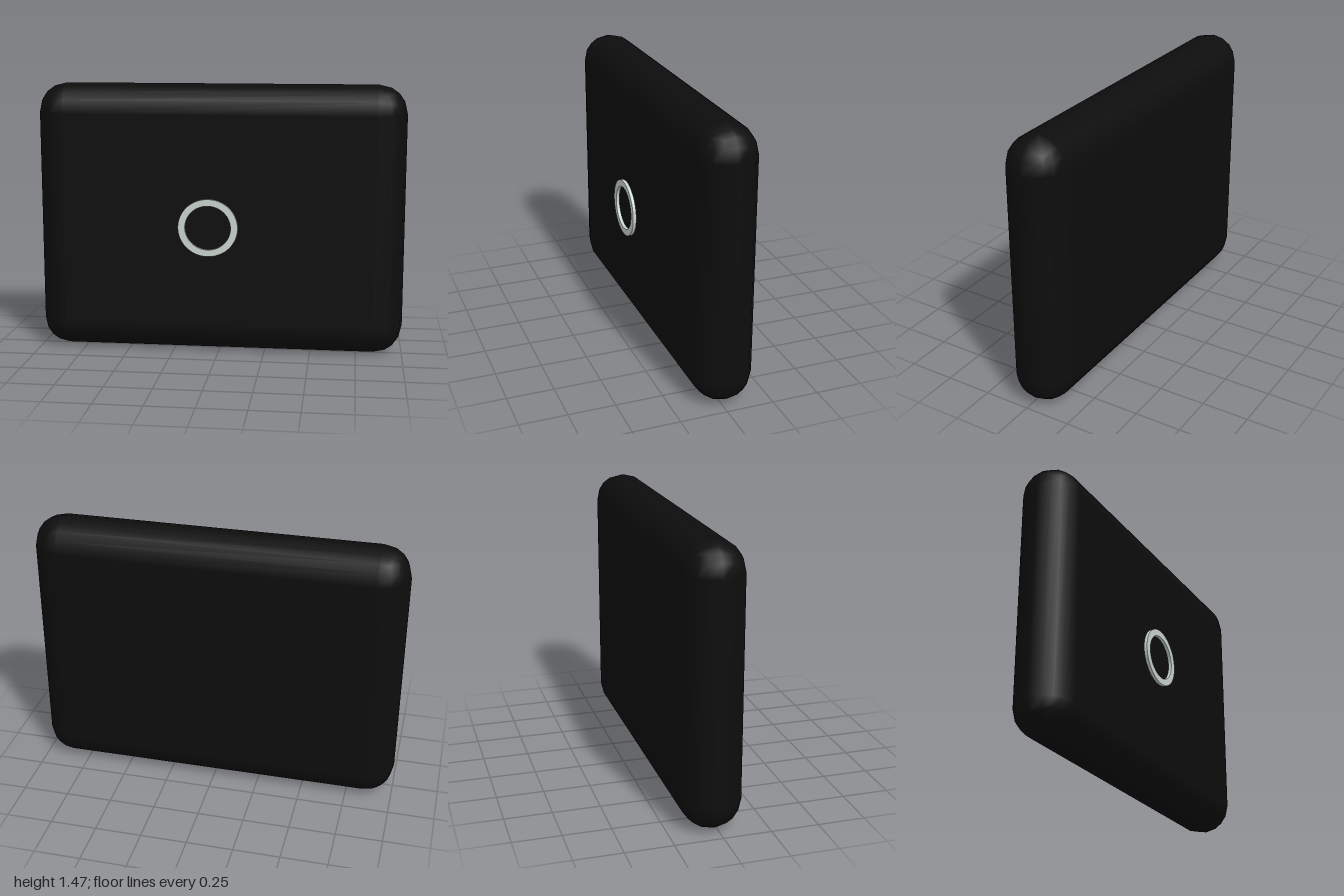
import * as THREE from 'three';
import { RoundedBoxGeometry } from 'three/addons/geometries/RoundedBoxGeometry.js';
import { toCreasedNormals } from 'three/addons/utils/BufferGeometryUtils.js';

const HEIGHT = 1.465, DEPTH = 0.314;

function addPart(group, name, geometry, color, x, y, z) {
  const mesh = new THREE.Mesh(geometry, new THREE.MeshStandardMaterial({ color }));
  mesh.name = name;
  mesh.position.set(x, y, z);
  group.add(mesh);
}

// Flat slightly oval washer, extruded along +z
function ringGeometry(outerX, outerY, innerX, innerY, depth) {
  const shape = new THREE.Shape().absellipse(0, 0, outerX, outerY, 0, Math.PI * 2);
  shape.holes.push(new THREE.Path().absellipse(0, 0, innerX, innerY, 0, Math.PI * 2));
  const geometry = new THREE.ExtrudeGeometry(shape, { depth, bevelEnabled: false, curveSegments: 48 });
  return toCreasedNormals(geometry, 0.6);
}

export function createModel() {
  const model = new THREE.Group();
  model.name = 'roundedPanel';

  // Slab whose edges are rounded by half its thickness
  addPart(model, 'body', new RoundedBoxGeometry(2, HEIGHT, DEPTH, 2, DEPTH / 2),
    0x0d0d0d, 0, HEIGHT / 2, -0.022);

  // Thin pale ring floating just ahead of the front face
  addPart(model, 'frontRing', ringGeometry(0.161, 0.155, 0.123, 0.119, 0.018),
    0xccd6d0, -0.047, 0.708, 0.161);

  return model;
}
